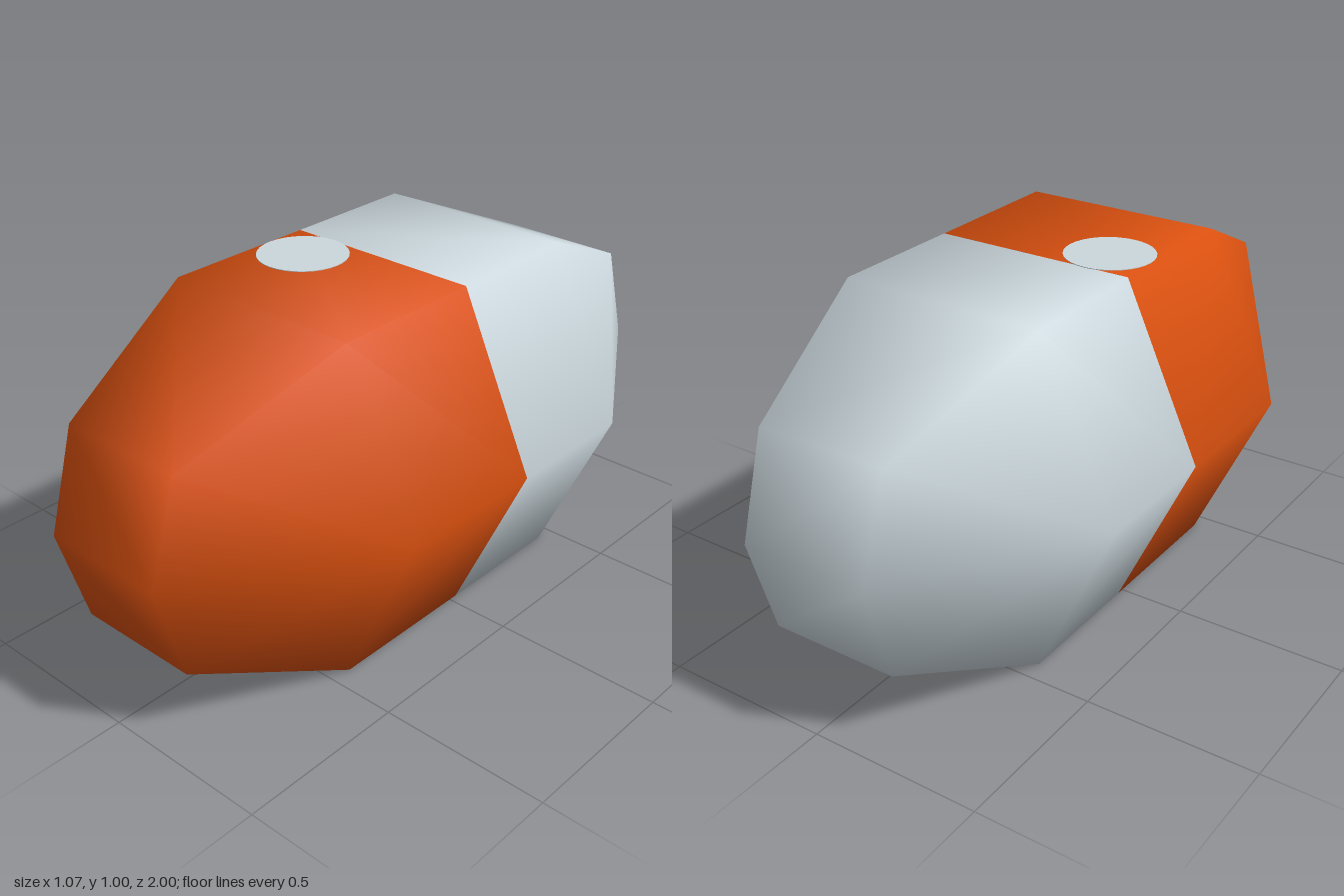
import * as THREE from 'three';

const H = 0.995;       // height
const SPLIT = -0.025;  // where the two colours meet

// Six corners, counterclockwise seen from the front, starting at +x
function hexRing(midX, edgeX, halfH, midZ, edgeZ) {
  const m = H / 2;
  return [
    [midX, m, midZ], [edgeX, m + halfH, edgeZ], [-edgeX, m + halfH, edgeZ],
    [-midX, m, midZ], [-edgeX, m - halfH, edgeZ], [edgeX, m - halfH, edgeZ],
  ];
}

// Capsule body: tapered nose, hexagonal barrel, tapered tail
function bodyGeometry() {
  const barrel = (z) => hexRing(0.535, 0.305, H / 2, z, z);
  const end = (s) => hexRing(0.19, 0.19, 0.29, s, s * 0.915);
  const rings = [end(1), barrel(0.44), barrel(SPLIT), barrel(-0.44), end(-1)];
  const index = [0, 1, 2, 0, 2, 3, 3, 4, 5, 3, 5, 0]; // front tip
  let frontCount = 0;
  for (let r = 0; r < 4; r++) {
    for (let k = 0; k < 6; k++) {
      const n = (k + 1) % 6;
      const a = r * 6 + k, b = r * 6 + n, c = b + 6, d = a + 6;
      // pick the diagonal that keeps the tapered ends convex
      if ((k % 3 === 0) === (r < 2)) index.push(a, d, b, b, d, c);
      else index.push(a, d, c, a, c, b);
    }
    if (r === 1) frontCount = index.length;
  }
  const t = 24; // back tip
  index.push(t, t + 2, t + 1, t, t + 3, t + 2, t + 3, t + 5, t + 4, t + 3, t, t + 5);

  const geo = new THREE.BufferGeometry();
  geo.setAttribute('position', new THREE.Float32BufferAttribute(rings.flat(2), 3));
  geo.setIndex(index);
  geo.computeVertexNormals();
  geo.addGroup(0, frontCount, 0);
  geo.addGroup(frontCount, index.length - frontCount, 1);
  return geo;
}

export function createModel() {
  const group = new THREE.Group();
  group.name = 'capsule';
  const orange = new THREE.MeshStandardMaterial({ color: 0xd9500f });
  orange.name = 'orange';
  const grey = new THREE.MeshStandardMaterial({ color: 0xcbd7dd });
  grey.name = 'paleGrey';

  const body = new THREE.Mesh(bodyGeometry(), [orange, grey]);
  body.name = 'body';
  group.add(body);

  // Round pale spots on the flat top and bottom
  const spotGeo = new THREE.CylinderGeometry(0.13, 0.13, 0.004, 32);
  for (const [name, y] of [['topSpot', H], ['bottomSpot', 0]]) {
    const spot = new THREE.Mesh(spotGeo, grey);
    spot.name = name;
    spot.position.set(-0.172, y, 0.1);
    group.add(spot);
  }
  return group;
}
